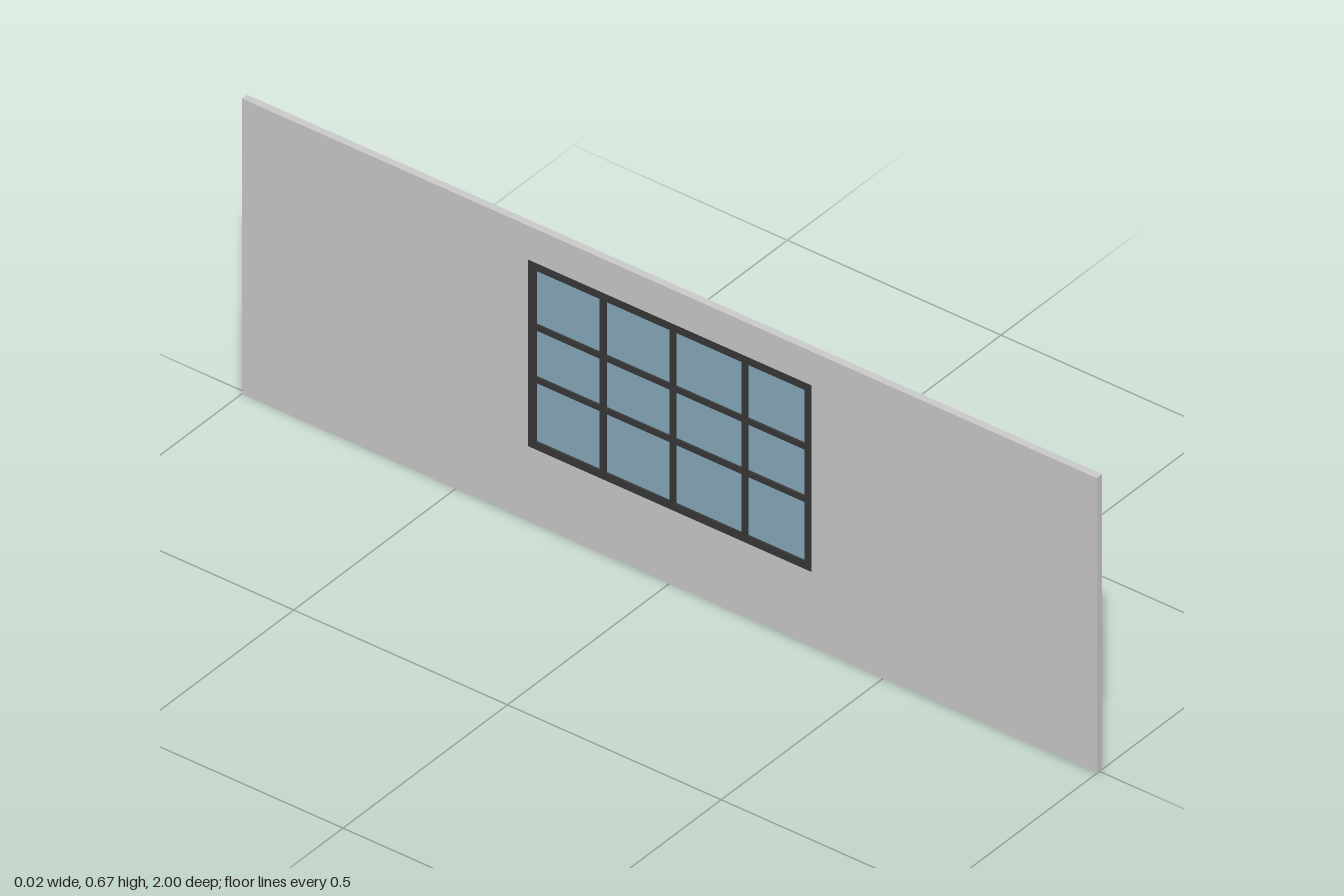
import * as THREE from 'three';

const WALL = { w: 2, h: 0.67, depth: 0.016 };
const WIN = { z0: -0.33, z1: 0.333, y0: 0.17, y1: 0.593 };
const RIM = 0.017; // outer frame width
const BAR = 0.013; // glazing bar width

// Rectangle outline in the wall plane (shape x runs along -z)
function rect(path, z0, z1, y0, y1) {
  path.moveTo(-z1, y0);
  path.lineTo(-z0, y0);
  path.lineTo(-z0, y1);
  path.lineTo(-z1, y1);
  path.closePath();
  return path;
}

// Upright panel with rectangular openings, centred on x = 0
function panel(name, outer, holes, depth, material) {
  const shape = rect(new THREE.Shape(), ...outer);
  for (const hole of holes) shape.holes.push(rect(new THREE.Path(), ...hole));
  const geometry = new THREE.ExtrudeGeometry(shape, { depth, bevelEnabled: false });
  geometry.translate(0, 0, -depth / 2);
  geometry.rotateY(Math.PI / 2);
  const mesh = new THREE.Mesh(geometry, material);
  mesh.name = name;
  return mesh;
}

export function createModel() {
  const group = new THREE.Group();
  group.name = 'wallWithWindow';

  const wallMat = new THREE.MeshStandardMaterial({ color: 0xcccccc });
  const frameMat = new THREE.MeshStandardMaterial({ color: 0x383838 });
  const glassMat = new THREE.MeshStandardMaterial({ color: 0x88aabb });

  // Wall with the window opening cut through
  const opening = [WIN.z0, WIN.z1, WIN.y0, WIN.y1];
  group.add(panel('wall', [-WALL.w / 2, WALL.w / 2, 0, WALL.h], [opening], WALL.depth, wallMat));

  // Window frame, 4 by 3 panes divided by glazing bars
  const barsZ = [-0.156, 0.007, 0.176];
  const barsY = [0.328, 0.447];
  const spans = (lo, hi, bars) => {
    const starts = [lo + RIM, ...bars.map((b) => b + BAR / 2)];
    const ends = [...bars.map((b) => b - BAR / 2), hi - RIM];
    return starts.map((s, i) => [s, ends[i]]);
  };
  const panes = [];
  for (const z of spans(WIN.z0, WIN.z1, barsZ)) {
    for (const y of spans(WIN.y0, WIN.y1, barsY)) panes.push([...z, ...y]);
  }
  group.add(panel('windowFrame', opening, panes, WALL.depth + 0.001, frameMat));

  // Glass panes set inside the frame
  panes.forEach((pane, i) => group.add(panel(`glassPane${i + 1}`, pane, [], 0.008, glassMat)));

  return group;
}
